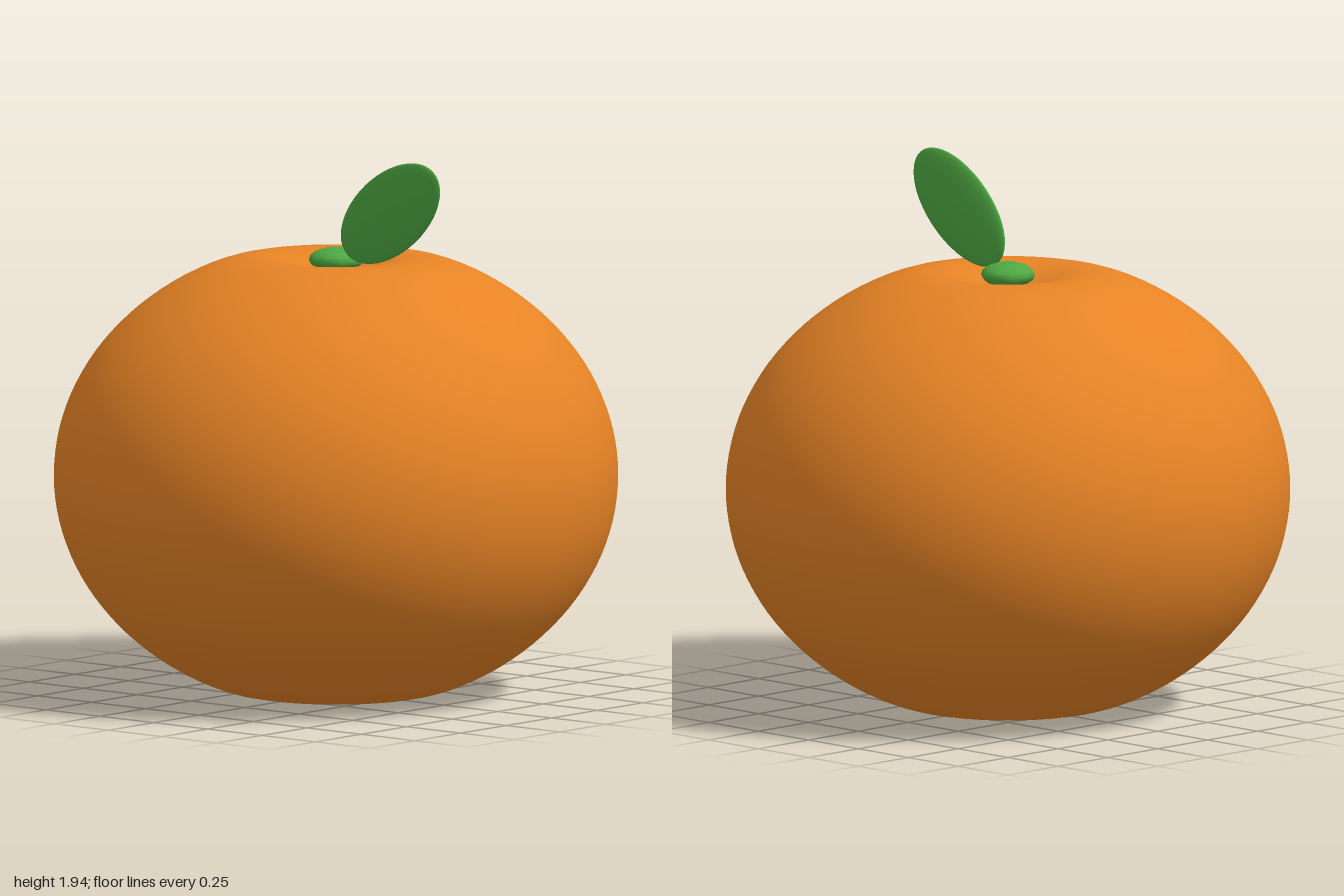
import * as THREE from 'three';

const material = (name, color) => {
  const m = new THREE.MeshStandardMaterial({ color });
  m.name = name;
  return m;
};

export function createModel() {
  const orange = material('orange peel', 0xe68325);
  const green = material('leaf green', 0x4ea842);
  const group = new THREE.Group();
  group.name = 'fruit';

  const add = (name, geometry, mat) => {
    const mesh = new THREE.Mesh(geometry, mat);
    mesh.name = name;
    group.add(mesh);
    return mesh;
  };

  // Squashed sphere with a soft dimple at each pole
  const profile = [];
  const steps = 64;
  for (let i = 0; i <= steps; i++) {
    const t = (i / steps - 0.5) * Math.PI;
    const r = i % steps === 0 ? 0 : Math.cos(t);
    const dimple = 0.12 * Math.exp(-((r / 0.215) ** 2));
    profile.push(new THREE.Vector2(r, 0.835 * Math.sin(t) - Math.sign(t) * dimple));
  }
  add('body', new THREE.LatheGeometry(profile, 96), orange).position.y = 0.78;

  // Small stem button resting in the top dimple
  const stem = new THREE.SphereGeometry(0.097, 10, 8).scale(1, 0.46, 1);
  add('stem', stem, green).position.y = 1.55;

  // Thin oval leaf, slanted up to the left and leaning slightly forward
  const leafShape = new THREE.SphereGeometry(1, 32, 24).scale(0.275, 0.14, 0.022);
  const leaf = add('leaf', leafShape, green);
  leaf.position.set(0.3, 1.747, 0.056);
  leaf.rotation.set(0.1, 0, 0.61);

  return group;
}
